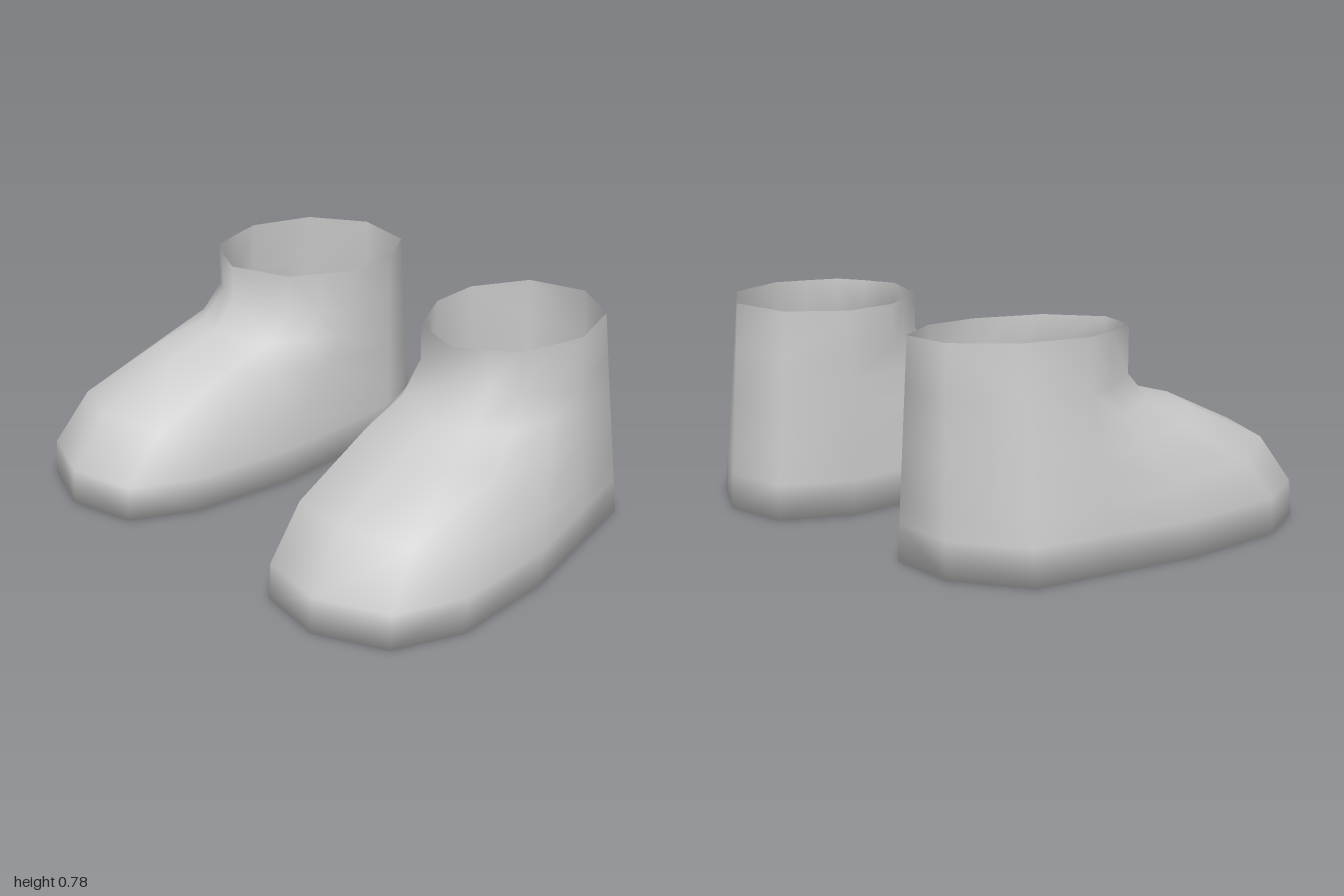
import * as THREE from 'three';

// Outline of the sole and of the ankle opening as [x, z], toe first, then outer side, heel, inner side
const SOLE = [[.64, .768], [.895, .66], [1, .41], [.985, 0], [.91, -.33], [.85, -.62],
  [.59, -.77], [.33, -.75], [.2, -.5], [.19, .08], [.255, .48], [.38, .715]];
const RIM = [[.56, .01], [.68, -.05], [.77, -.11], [.81, -.24], [.84, -.36], [.76, -.6],
  [.56, -.74], [.33, -.7], [.21, -.5], [.22, -.3], [.28, -.19], [.34, -.08]];
// How strongly each column follows the toe and instep profile (1) or the side wall (0)
const TOE = [1, .85, .5, .2, 0, 0, 0, 0, 0, .2, .5, .85];
// Columns whose wall rises straight, at the heel
const HEEL = [0, 0, 0, 0, .5, 1, 1, 1, 1, .2, 0, 0];
// Rows: travel from sole to rim, height at the toe, height at the side
const ROWS = [[0, 0, 0], [.015, .13, .13], [.2, .325, .22], [.61, .465, .39],
  [.87, .52, .5], [1, .635, .59], [1, .765, .765]];

function bootGeometry(side) {
  const { lerp } = THREE.MathUtils;
  const n = SOLE.length;
  const pos = [], index = [];
  const tri = (a, b, c) => (side > 0 ? index.push(a, b, c) : index.push(a, c, b));

  // Wall rings
  ROWS.forEach(([travel, toeY, sideY], r) => {
    for (let i = 0; i < n; i++) {
      let y = lerp(sideY, toeY, TOE[i]);
      const f = lerp(travel, y / .765, HEEL[i]);
      const x = lerp(SOLE[i][0], RIM[i][0], f);
      const z = lerp(SOLE[i][1], RIM[i][1], f);
      if (r === ROWS.length - 1) y = .748 + .036 * x; // rim rises slightly outward
      pos.push(side * x, y, z);
    }
  });
  for (let r = 0; r < ROWS.length - 1; r++) {
    for (let i = 0; i < n; i++) {
      const a = r * n + i, b = r * n + (i + 1) % n;
      tri(a, b, b + n);
      tri(a, b + n, a + n);
    }
  }

  // Flat sole, sharing the lowest ring so the edge shades softly
  const centre = pos.length / 3;
  pos.push(side * .59, 0, 0);
  for (let i = 0; i < n; i++) tri(centre, (i + 1) % n, i);

  const geometry = new THREE.BufferGeometry();
  geometry.setAttribute('position', new THREE.Float32BufferAttribute(pos, 3));
  geometry.setIndex(index);
  geometry.computeVertexNormals();
  return geometry;
}

export function createModel() {
  const group = new THREE.Group();
  group.name = 'boots';
  const material = new THREE.MeshStandardMaterial({ color: 0xcccccc, side: THREE.DoubleSide });
  for (const [name, side] of [['leftBoot', 1], ['rightBoot', -1]]) {
    const boot = new THREE.Mesh(bootGeometry(side), material);
    boot.name = name;
    group.add(boot);
  }
  return group;
}
